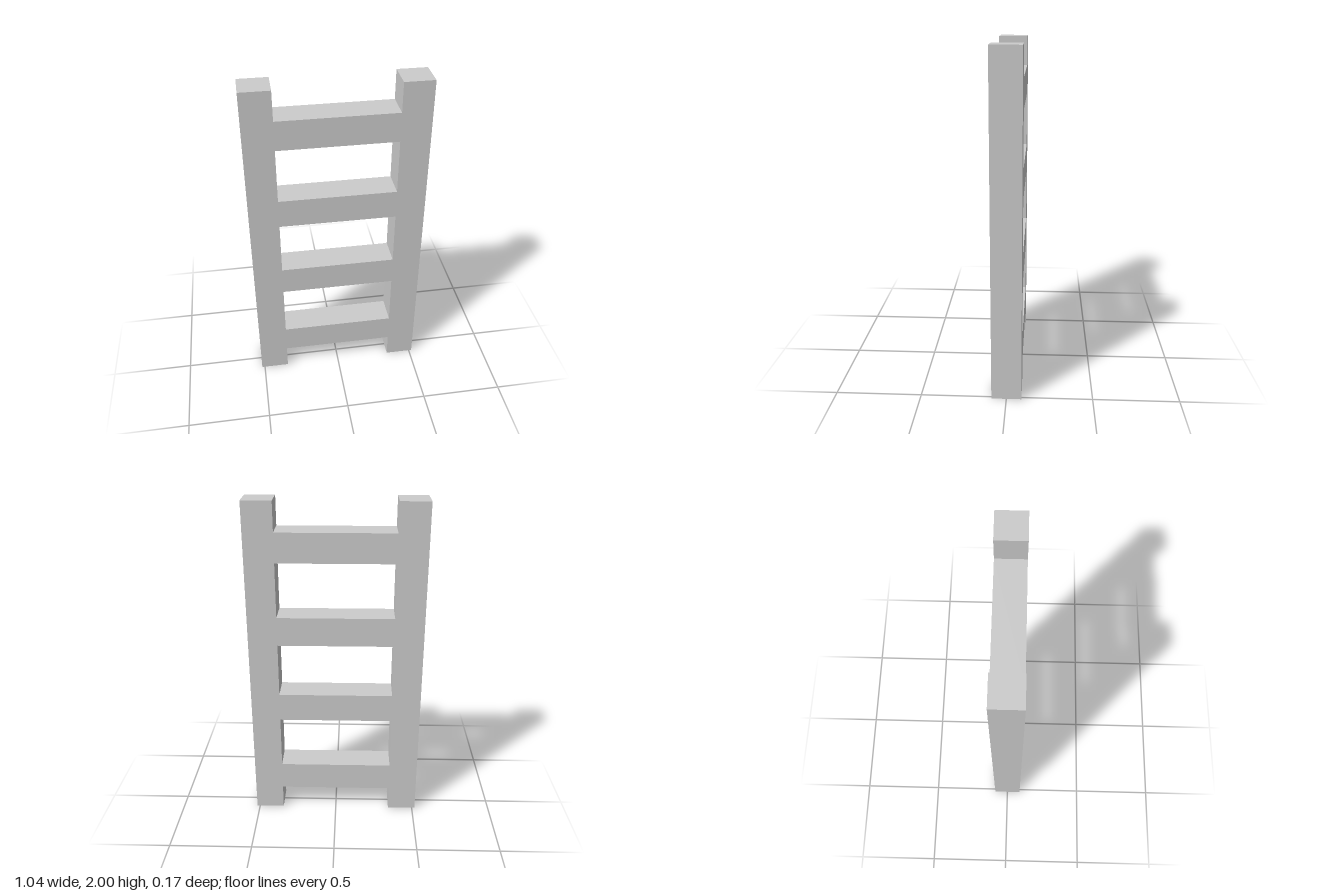
import * as THREE from 'three';

const BEAM = 0.174;        // square section shared by rails and rungs
const HEIGHT = 2;
const INNER = 0.344;       // half the clear width between the rails
const RUNGS = 4, FIRST_RUNG = 0.239, RUNG_STEP = 0.5;

export function createModel() {
  const ladder = new THREE.Group();
  ladder.name = 'ladder';
  const material = new THREE.MeshStandardMaterial({ color: 0xcccccc, flatShading: true });

  function beam(name, width, height, x, y) {
    const mesh = new THREE.Mesh(new THREE.BoxGeometry(width, height, BEAM), material);
    mesh.name = name;
    mesh.position.set(x, y, 0);
    ladder.add(mesh);
  }

  // Upright side rails
  for (const side of [1, -1]) {
    beam(side > 0 ? 'leftRail' : 'rightRail', BEAM, HEIGHT, side * (INNER + BEAM / 2), HEIGHT / 2);
  }

  // Rungs, flush with the rails and evenly spaced
  for (let i = 0; i < RUNGS; i++) {
    beam(`rung${i + 1}`, INNER * 2, BEAM, 0, FIRST_RUNG + i * RUNG_STEP);
  }

  return ladder;
}
